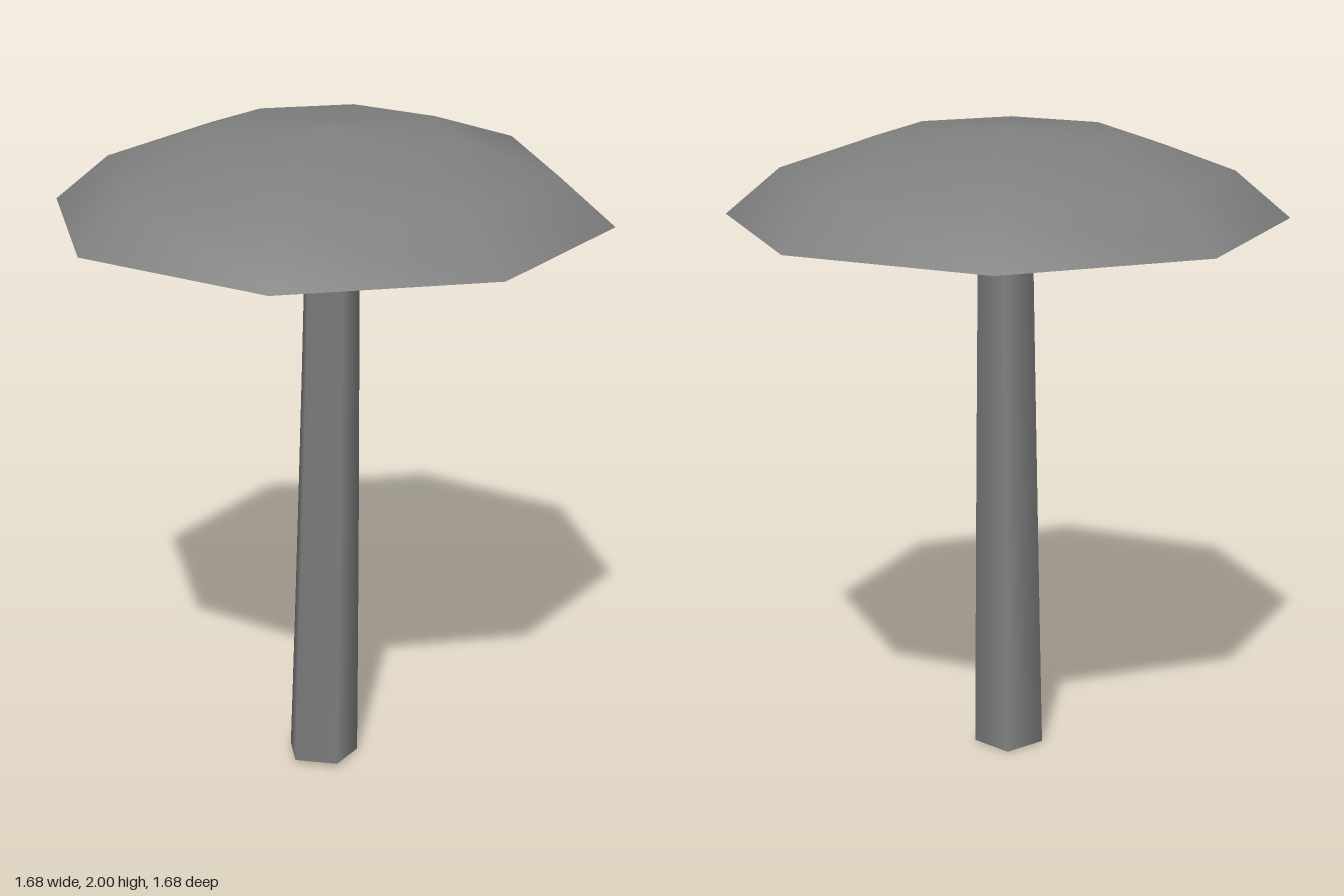
import * as THREE from 'three';

export function createModel() {
  const group = new THREE.Group();
  const grey = new THREE.MeshStandardMaterial({ color: 0x808080 });
  grey.name = 'grey';

  const add = (name, geometry) => {
    const mesh = new THREE.Mesh(geometry, grey);
    mesh.name = name;
    group.add(mesh);
  };

  // Eight-sided cap: smooth dome and underside meeting at a sharp rim
  const ring = (profile) =>
    new THREE.LatheGeometry(profile.map(([r, y]) => new THREE.Vector2(r, y)), 8);
  add('capTop', ring([[0.84, 1.735], [0.675, 1.875], [0.38, 1.975], [0, 2]]));
  add('capUnderside', ring([[0, 1.67], [0.505, 1.67], [0.84, 1.735]]));

  // Five-sided tapering stem, bent along a slightly curved spine
  const height = 1.69;
  const stem = new THREE.CylinderGeometry(0.086, 0.113, height, 5, 4, false, Math.PI * 0.75);
  stem.translate(0, height / 2, 0);
  const p = stem.attributes.position;
  for (let i = 0; i < p.count; i++) {
    const x = p.getX(i), y = p.getY(i), z = p.getZ(i);
    const t = y / height;
    const lean = (1 - t) * (1 - 0.3 * t);
    const tilt = 0.05 * (1 - t) * (z - x); // foot sits square to the lean
    p.setXYZ(i, x - 0.087 * lean, y + tilt + 0.009 * (1 - t), z + 0.004 + 0.079 * lean);
  }
  add('stem', stem);

  return group;
}
